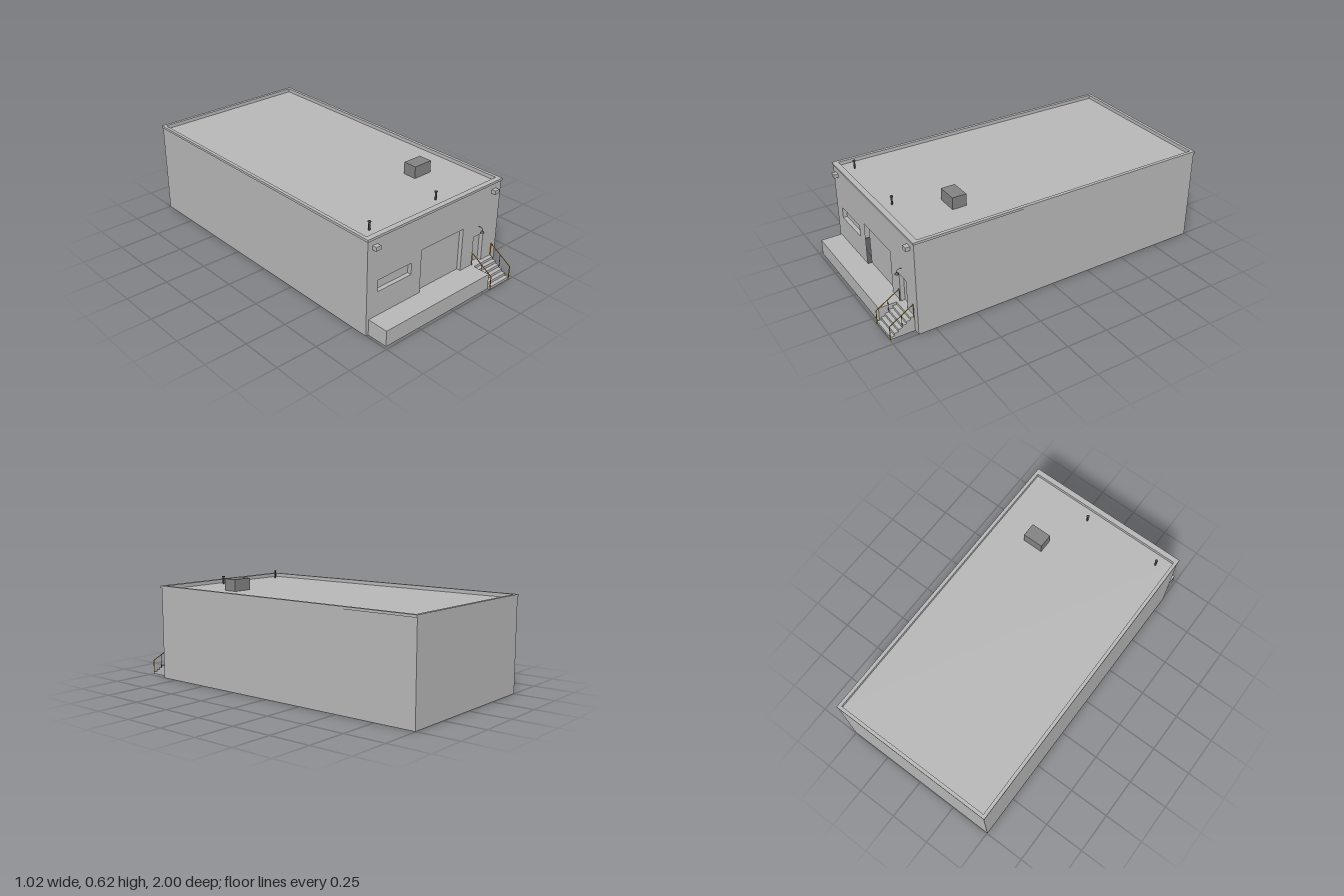
import * as THREE from 'three';

const wallMat = new THREE.MeshStandardMaterial({ color: 0xb6b6b6, side: THREE.DoubleSide });
wallMat.name = 'concrete grey';
const unitMat = new THREE.MeshStandardMaterial({ color: 0x828282 });
unitMat.name = 'machine grey';
const darkMat = new THREE.MeshStandardMaterial({ color: 0x4c4c4e, side: THREE.DoubleSide });
darkMat.name = 'dark metal';
const railMat = new THREE.MeshStandardMaterial({ color: 0xb8860b });
railMat.name = 'railing yellow';

const W = 0.503, FRONT = 0.852, BACK = -0.998, TOP = 0.572, ROOF = 0.55;

function add(parent, name, geometry, material, x = 0, y = 0, z = 0) {
  const mesh = new THREE.Mesh(geometry, material);
  mesh.name = name;
  mesh.position.set(x, y, z);
  parent.add(mesh);
  return mesh;
}

// Box given by its minimum and maximum corners
function block(parent, name, mat, [x0, y0, z0], [x1, y1, z1]) {
  return add(parent, name, new THREE.BoxGeometry(x1 - x0, y1 - y0, z1 - z0), mat,
    (x0 + x1) / 2, (y0 + y1) / 2, (z0 + z1) / 2);
}

// Round bar between two points
function bar(parent, name, mat, a, b, r) {
  const p = new THREE.Vector3(...a), q = new THREE.Vector3(...b);
  const dir = q.clone().sub(p);
  const mesh = add(parent, name, new THREE.CylinderGeometry(r, r, dir.length(), 8), mat);
  mesh.position.copy(p).add(q).multiplyScalar(0.5);
  mesh.quaternion.setFromUnitVectors(new THREE.Vector3(0, 1, 0), dir.normalize());
}

function rectangle(x0, y0, x1, y1, Type = THREE.Shape) {
  return new Type([[x0, y0], [x1, y0], [x1, y1], [x0, y1]].map(p => new THREE.Vector2(...p)));
}

// Flat ring around the roof between two rectangles
function roofRing(parent, name, outer, inner, y0, y1) {
  const shape = rectangle(...outer);
  shape.holes.push(rectangle(...inner, THREE.Path));
  const geo = new THREE.ExtrudeGeometry(shape, { depth: y1 - y0, bevelEnabled: false });
  geo.rotateX(-Math.PI / 2);
  add(parent, name, geo, wallMat, 0, y0, 0);
}

// Sunken panel: back plate and its reveals
function recess(parent, name, [x0, y0, x1, y1], openRightSide) {
  const g = new THREE.Group();
  g.name = name;
  parent.add(g);
  const d = 0.025, w = x1 - x0, h = y1 - y0, cx = (x0 + x1) / 2, cy = (y0 + y1) / 2;
  add(g, name + 'Panel', new THREE.PlaneGeometry(w, h), wallMat, cx, cy, FRONT - d);
  for (const s of [-1, 1]) {
    const ledge = new THREE.PlaneGeometry(w, d).rotateX(s * Math.PI / 2);
    add(g, name + (s > 0 ? 'Head' : 'Sill'), ledge, wallMat, cx, cy + s * h / 2, FRONT - d / 2);
    if (s < 0 && openRightSide) continue;
    const jamb = new THREE.PlaneGeometry(d, h).rotateY(-s * Math.PI / 2);
    add(g, name + 'Jamb', jamb, wallMat, cx + s * w / 2, cy, FRONT - d / 2);
  }
}

export function createModel() {
  const model = new THREE.Group();
  model.name = 'warehouse';

  // Walls: thin shell, open underneath
  const openings = {
    window: [-0.428, 0.239, -0.186, 0.308],
    loadingDoor: [-0.113, 0.094, 0.212, 0.358],
    entryDoor: [0.306, 0.094, 0.386, 0.272],
  };
  const face = rectangle(-W, 0, W, TOP - 0.004);
  for (const [name, r] of Object.entries(openings)) {
    face.holes.push(rectangle(...r, THREE.Path));
    recess(model, name, r, name === 'loadingDoor');
  }
  add(model, 'frontWall', new THREE.ShapeGeometry(face), wallMat, 0, 0, FRONT);
  const wallH = TOP - 0.004, length = FRONT - BACK, midZ = (FRONT + BACK) / 2;
  add(model, 'backWall', new THREE.PlaneGeometry(2 * W, wallH).rotateY(Math.PI), wallMat, 0, wallH / 2, BACK);
  for (const s of [-1, 1]) {
    add(model, s > 0 ? 'leftWall' : 'rightWall',
      new THREE.PlaneGeometry(length, wallH).rotateY(s * Math.PI / 2), wallMat, s * W, wallH / 2, midZ);
  }

  // Roof deck with parapet and overhanging coping
  add(model, 'roof', new THREE.PlaneGeometry(2 * W, length).rotateX(-Math.PI / 2), wallMat, 0, ROOF, midZ);
  const inner = [-0.488, -0.825, 0.488, 0.98];
  roofRing(model, 'parapet', [-W + 0.001, -FRONT + 0.001, W - 0.001, -BACK - 0.001],
    inner, ROOF, TOP - 0.002);
  roofRing(model, 'coping', [-0.508, -0.857, 0.508, 1], inner, 0.558, TOP);

  // Rooftop equipment
  block(model, 'roofUnit', unitMat, [0.174, ROOF, 0.43], [0.298, 0.621, 0.515]);
  for (const x of [-0.407, 0.076]) {
    bar(model, 'ventPipe', darkMat, [x, ROOF, 0.76], [x, 0.598, 0.76], 0.0055);
    bar(model, 'ventCap', darkMat, [x, 0.596, 0.76], [x, 0.601, 0.76], 0.0095);
  }

  // Wall boxes near the upper corners
  for (const x of [-0.454, 0.445]) {
    block(model, 'floodlight', wallMat, [x - 0.017, 0.503, FRONT], [x + 0.017, 0.526, 0.878]);
  }

  // Loading platform
  block(model, 'platform', wallMat, [-0.486, 0, FRONT], [0.302, 0.095, 0.982]);

  // Stairs as one stepped profile
  const steps = 6, rise = 0.095 / steps, end = 0.996, tread = (end - FRONT) / steps;
  const profile = new THREE.Shape();
  profile.moveTo(FRONT, 0);
  profile.lineTo(end, 0);
  for (let i = 0; i < steps; i++) {
    profile.lineTo(end - i * tread, (i + 1) * rise);
    profile.lineTo(end - (i + 1) * tread, (i + 1) * rise);
  }
  const stairGeo = new THREE.ExtrudeGeometry(profile, { depth: 0.161, bevelEnabled: false });
  stairGeo.rotateY(-Math.PI / 2);
  add(model, 'stairs', stairGeo, wallMat, 0.463, 0, 0);

  // Handrails on both sides of the stairs
  for (const x of [0.303, 0.464]) {
    const r = 0.0025;
    bar(model, 'frontRailPost', railMat, [x, 0, 0.9975], [x, 0.086, 0.9975], r);
    bar(model, 'backRailPost', railMat, [x, 0.09, 0.856], [x, 0.174, 0.856], r);
    bar(model, 'handrail', railMat, [x, 0.086, 0.9975], [x, 0.173, 0.856], r);
    bar(model, 'middleRailPost', darkMat, [x, 0.05, 0.926], [x, 0.129, 0.926], 0.0018);
  }

  // Lamp above the entry door
  const lx = 0.342, lz = 0.88;
  const arm = new THREE.CatmullRomCurve3([[FRONT, 0.328], [0.87, 0.328], [0.879, 0.324], [lz, 0.312]]
    .map(([z, y]) => new THREE.Vector3(lx, y, z)));
  add(model, 'lampArm', new THREE.TubeGeometry(arm, 12, 0.0013, 6), darkMat);
  add(model, 'lampShade', new THREE.CylinderGeometry(0.003, 0.0125, 0.013, 16, 1, true), darkMat, lx, 0.3065, lz);
  return model;
}
